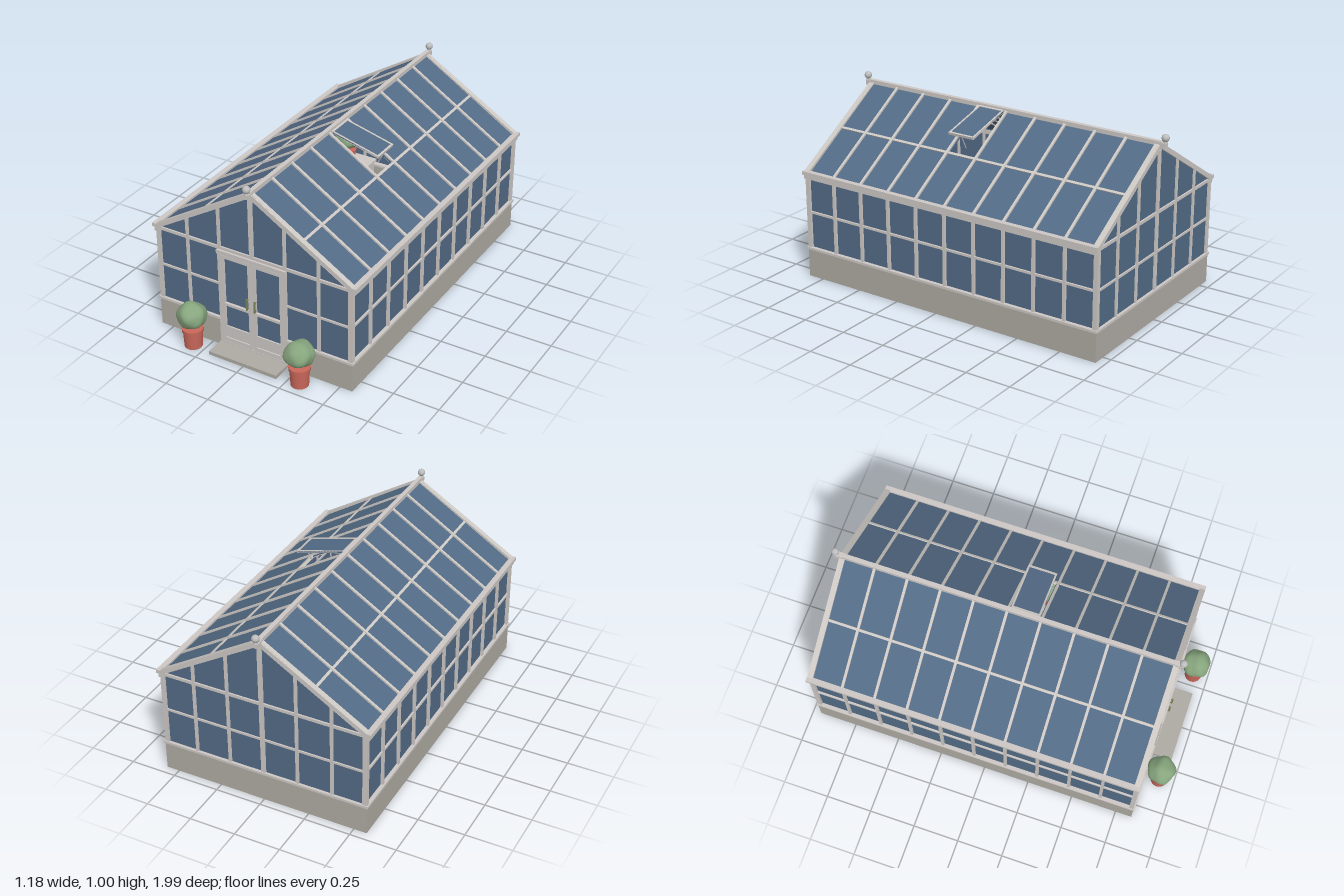
import * as THREE from 'three';
import { mergeVertices } from 'three/addons/utils/BufferGeometryUtils.js';

const flat = (name, color) => Object.assign(new THREE.MeshStandardMaterial({ color }), { name });
const paint = flat('painted frame', 0xcdc8c4);
const glass = flat('glass', 0x536b86);
const stone = flat('stone', 0xaeaaa3);
const floorGrey = flat('floor', 0x8f8d89);
const clay = flat('terracotta', 0xc9675a);
const leaf = flat('foliage', 0x86a57d);
const metal = flat('finial metal', 0xbdbdbd);
const brass = flat('handle', 0x76845a);

const ZF = 0.84, ZB = -0.955, ZC = (ZF + ZB) / 2, HALF = 0.8875, BAYS = 10, BAY = 2 * HALF / BAYS;
const RIDGE = 0.945, EAVE = 0.585, RUN = 0.575;
const SLOPE = Math.atan2(RIDGE - EAVE, RUN), LEN = Math.hypot(RIDGE - EAVE, RUN);
const roofY = (x) => RIDGE - Math.abs(x) * (RIDGE - EAVE) / RUN;

function add(parent, name, geo, mat, x = 0, y = 0, z = 0) {
  const m = new THREE.Mesh(geo, mat);
  m.name = name;
  m.position.set(x, y, z);
  parent.add(m);
  return m;
}

// Box given by its limits on each axis
function box(parent, name, mat, x0, x1, y0, y1, z0, z1) {
  return add(parent, name, new THREE.BoxGeometry(Math.abs(x1 - x0), y1 - y0, z1 - z0), mat,
    (x0 + x1) / 2, (y0 + y1) / 2, (z0 + z1) / 2);
}

function polygon(points) {
  return new THREE.Shape(points.map(([x, y]) => new THREE.Vector2(x, y)));
}

function sheet(shape, depth) {
  return new THREE.ExtrudeGeometry(shape, { depth, bevelEnabled: false });
}

function group(parent, name) {
  const g = new THREE.Group();
  g.name = name;
  parent.add(g);
  return g;
}

// Lumpy clipped bush
function bushGeometry(seed) {
  let g = new THREE.IcosahedronGeometry(1, 4);
  g.deleteAttribute('normal');
  g.deleteAttribute('uv');
  g = mergeVertices(g, 1e-4);
  const p = g.attributes.position, v = new THREE.Vector3();
  for (let i = 0; i < p.count; i++) {
    v.fromBufferAttribute(p, i);
    const k = 1 + 0.05 * Math.sin(5 * v.x + seed) * Math.cos(4 * v.y - seed)
      + 0.05 * Math.sin(6 * v.z + 3 * v.y + 2 * seed);
    p.setXYZ(i, v.x * k, v.y * k * 0.88, v.z * k);
  }
  g.computeVertexNormals();
  return g;
}

function pottedBush(parent, name, x, y, z, s, seed) {
  const g = group(parent, name);
  g.position.set(x, y, z);
  g.scale.setScalar(s);
  add(g, 'pot', new THREE.CylinderGeometry(0.051, 0.046, 0.095, 24), clay, 0, 0.0475, 0);
  add(g, 'potRim', new THREE.CylinderGeometry(0.056, 0.055, 0.02, 24), clay, 0, 0.1, 0);
  add(g, 'stem', new THREE.CylinderGeometry(0.008, 0.008, 0.06, 8), leaf, 0, 0.125, 0);
  add(g, 'bush', bushGeometry(seed), leaf, 0, 0.183, 0).scale.setScalar(0.076);
}

function buildBase(root) {
  const g = group(root, 'base');
  box(g, 'floor', floorGrey, -0.53, 0.53, 0.004, 0.02, ZB + 0.03, ZF - 0.01);
  box(g, 'backWall', stone, -0.57, 0.57, 0, 0.157, ZB, ZB + 0.045);
  box(g, 'backSill', paint, -0.577, 0.577, 0.157, 0.17, ZB - 0.006, ZB + 0.045);
  for (const s of [-1, 1]) {
    box(g, 'sideWall', stone, s * 0.525, s * 0.57, 0, 0.157, ZB + 0.045, ZF - 0.045);
    box(g, 'sideSill', paint, s * 0.525, s * 0.577, 0.157, 0.17, ZB + 0.045, ZF - 0.045);
    box(g, 'frontWall', stone, s * 0.2, s * 0.57, 0, 0.157, ZF - 0.045, ZF);
    box(g, 'frontSill', paint, s * 0.194, s * 0.577, 0.157, 0.17, ZF - 0.045, ZF + 0.006);
  }
  box(g, 'doorStep', stone, -0.2, 0.2, 0.004, 0.024, ZF - 0.03, 0.95);
}

function buildSides(root) {
  for (const s of [-1, 1]) {
    const g = group(root, s > 0 ? 'leftWall' : 'rightWall');
    box(g, 'wallGlass', glass, s * 0.55, s * 0.556, 0.165, 0.59, ZB + 0.012, ZF - 0.012);
    for (let i = 0; i <= BAYS; i++) {
      const z = ZC - HALF + i * BAY, w = i % BAYS ? 0.008 : 0.01;
      box(g, 'wallPost', paint, s * 0.545, s * 0.569, 0.17, 0.585, z - w, z + w);
    }
    box(g, 'wallRail', paint, s * 0.545, s * 0.566, 0.364, 0.376, ZB + 0.01, ZF - 0.01);
    box(g, 'eavePlate', paint, s * 0.545, s * 0.58, 0.562, 0.586, ZB, ZF);
    box(g, 'gutter', paint, s * 0.56, s * 0.59, 0.585, 0.605, ZB - 0.004, ZF + 0.004);
  }
}

function buildGable(root, front) {
  const g = group(root, front ? 'frontGable' : 'backGable');
  const z = front ? ZF - 0.012 : ZB + 0.012;
  const d0 = z - 0.012, d1 = z + 0.012;
  const top = [[0.555, 0.59], [0, RIDGE - 0.01], [-0.555, 0.59]];
  const foot = front
    ? [[-0.555, 0.165], [-0.195, 0.165], [-0.195, 0.57], [0.195, 0.57], [0.195, 0.165], [0.555, 0.165]]
    : [[-0.555, 0.165], [0.555, 0.165]];
  add(g, 'gableGlass', sheet(polygon([...foot, ...top]), 0.006), glass, 0, 0, z - 0.003);
  for (const s of [-1, 1]) {
    for (const x of [0.19, 0.38]) {
      const y0 = front && x < 0.2 ? 0.57 : 0.17;
      box(g, 'gablePost', paint, s * (x - 0.008), s * (x + 0.008), y0, roofY(x) - 0.01, d0, d1);
    }
    box(g, 'cornerPost', paint, s * 0.547, s * 0.57, 0.17, 0.59, d0, d1);
    box(g, 'gableRail', paint, s * (front ? 0.19 : 0), s * 0.555, 0.364, 0.376, d0 + 0.002, d1 - 0.002);
    // sloping board along the gable edge
    add(g, 'bargeBoard', sheet(polygon([
      [0, RIDGE - 0.022], [s * RUN, EAVE - 0.012], [s * RUN, EAVE + 0.016], [0, RIDGE + 0.008],
    ]), 0.03), paint, 0, 0, z - 0.015);
  }
  box(g, 'centrePost', paint, -0.012, 0.012, front ? 0.57 : 0.17, RIDGE - 0.01, d0, d1);
  box(g, 'eaveRail', paint, -0.555, 0.555, 0.577, 0.593, d0, d1);
  // ridge end block and ball finial
  const zf = front ? 0.86 : -0.98;
  box(g, 'ridgeBlock', paint, -0.015, 0.015, 0.928, 0.956, Math.min(zf, z) - 0.006, Math.max(zf, z) + 0.006);
  add(g, 'finialNeck', new THREE.CylinderGeometry(0.008, 0.012, 0.015, 16), metal, 0, 0.96, zf);
  add(g, 'finialBall', new THREE.SphereGeometry(0.02, 24, 16), metal, 0, 0.98, zf);
}

function buildDoors(root) {
  const g = group(root, 'doubleDoor');
  const z0 = ZF - 0.024, z1 = ZF + 0.004;
  box(g, 'doorHead', paint, -0.2, 0.2, 0.556, 0.578, z0, z1 + 0.008);
  box(g, 'threshold', paint, -0.19, 0.19, 0.024, 0.034, z0, z1);
  for (const s of [-1, 1]) {
    box(g, 'doorJamb', paint, s * 0.182, s * 0.199, 0.024, 0.556, z0, z1);
    const d = group(g, s > 0 ? 'leftDoor' : 'rightDoor');
    const bar = (name, a, b, y0, y1) => box(d, name, paint, s * a, s * b, y0, y1, z0 + 0.004, z1 + 0.003);
    bar('innerStile', 0.004, 0.021, 0.038, 0.551);
    bar('outerStile', 0.163, 0.179, 0.038, 0.551);
    bar('topRail', 0.021, 0.163, 0.535, 0.551);
    bar('middleRail', 0.021, 0.163, 0.256, 0.27);
    bar('bottomRail', 0.021, 0.163, 0.038, 0.062);
    box(d, 'kickPanel', paint, s * 0.02, s * 0.164, 0.06, 0.127, z0 + 0.008, z1 - 0.004);
    box(d, 'doorGlass', glass, s * 0.02, s * 0.164, 0.127, 0.54, z0 + 0.01, z0 + 0.016);
    box(d, 'handle', brass, s * 0.019, s * 0.027, 0.28, 0.345, z1 + 0.01, z1 + 0.018);
    for (const y of [0.288, 0.337])
      box(d, 'handleMount', brass, s * 0.019, s * 0.025, y - 0.003, y + 0.003, z1, z1 + 0.012);
  }
}

function buildRoof(root) {
  const g = group(root, 'roof');
  const v0 = 0.012, v1 = BAY - 0.012;
  for (const s of [1, -1]) {
    // each slope is built lying flat, then tilted down from the ridge
    const turn = group(g, s > 0 ? 'leftSlope' : 'rightSlope');
    turn.position.set(0, RIDGE, ZC);
    turn.rotation.y = s > 0 ? 0 : Math.PI;
    const slope = group(turn, 'tiltedSlope');
    slope.rotation.z = -SLOPE;
    const pane = polygon([[0, -HALF], [LEN, -HALF], [LEN, HALF], [0, HALF]]);
    if (s > 0)
      pane.holes.push(new THREE.Path(polygon([[0.02, -v0], [LEN / 2, -v0], [LEN / 2, -v1], [0.02, -v1]]).getPoints()));
    add(slope, 'roofGlass', sheet(pane, 0.006).rotateX(-Math.PI / 2), glass, 0, -0.006, 0);
    for (let i = 0; i <= BAYS; i++) {
      const z = -HALF + i * BAY;
      box(slope, 'rafter', paint, 0, LEN, -0.012, 0.009, z - 0.007, z + 0.007);
    }
    box(slope, 'purlin', paint, LEN / 2 - 0.007, LEN / 2 + 0.007, -0.01, 0.006, -HALF, HALF);
    box(slope, 'eaveBar', paint, LEN - 0.014, LEN, -0.012, 0.008, -HALF, HALF);
  }
  box(g, 'ridgeBeam', paint, -0.012, 0.012, 0.93, 0.96, ZB - 0.01, ZF + 0.01);

  // propped-open roof vent
  const vent = group(g, 'roofVent');
  vent.position.set(0.015, 0.945, ZC);
  vent.rotation.z = -0.255;
  const W = 0.284;
  box(vent, 'ventGlass', glass, 0.006, W - 0.006, -0.003, 0.003, v0, v1);
  for (const z of [v0, v1 - 0.009]) box(vent, 'ventSide', paint, 0, W, -0.006, 0.006, z, z + 0.009);
  for (const x of [0, W - 0.01]) box(vent, 'ventEnd', paint, x, x + 0.011, -0.007, 0.007, v0, v1);
  const a = new THREE.Vector3(0.28, 0.862, ZC + BAY / 2), b = new THREE.Vector3(0.245, 0.795, ZC + BAY / 2);
  add(g, 'ventStay', new THREE.TubeGeometry(new THREE.LineCurve3(a, b), 1, 0.003, 8), metal);
}

function buildInside(root) {
  const g = group(root, 'interior');
  for (const s of [-1, 1]) {
    box(g, 'benchTop', paint, s * 0.27, s * 0.51, 0.215, 0.23, -0.88, 0.6);
    for (const z of [-0.85, -0.15, 0.55])
      for (const x of [0.285, 0.495])
        box(g, 'benchLeg', paint, s * (x - 0.01), s * (x + 0.01), 0.02, 0.215, z - 0.01, z + 0.01);
    for (let i = 0; i < 7; i++) pottedBush(g, 'benchPlant', s * 0.39, 0.23, -0.75 + i * 0.2, 0.9, i + s);
    pottedBush(g, 'floorPlant', s * 0.24, 0.02, 0.7, 1, 4 + s);
  }
}

export function createModel() {
  const root = new THREE.Group();
  root.name = 'greenhouse';
  buildBase(root);
  buildSides(root);
  buildGable(root, true);
  buildGable(root, false);
  buildDoors(root);
  buildRoof(root);
  buildInside(root);
  for (const s of [-1, 1]) pottedBush(root, 'entrancePlant', s * 0.318, 0, 0.918, 1, 1 + s);
  return root;
}
